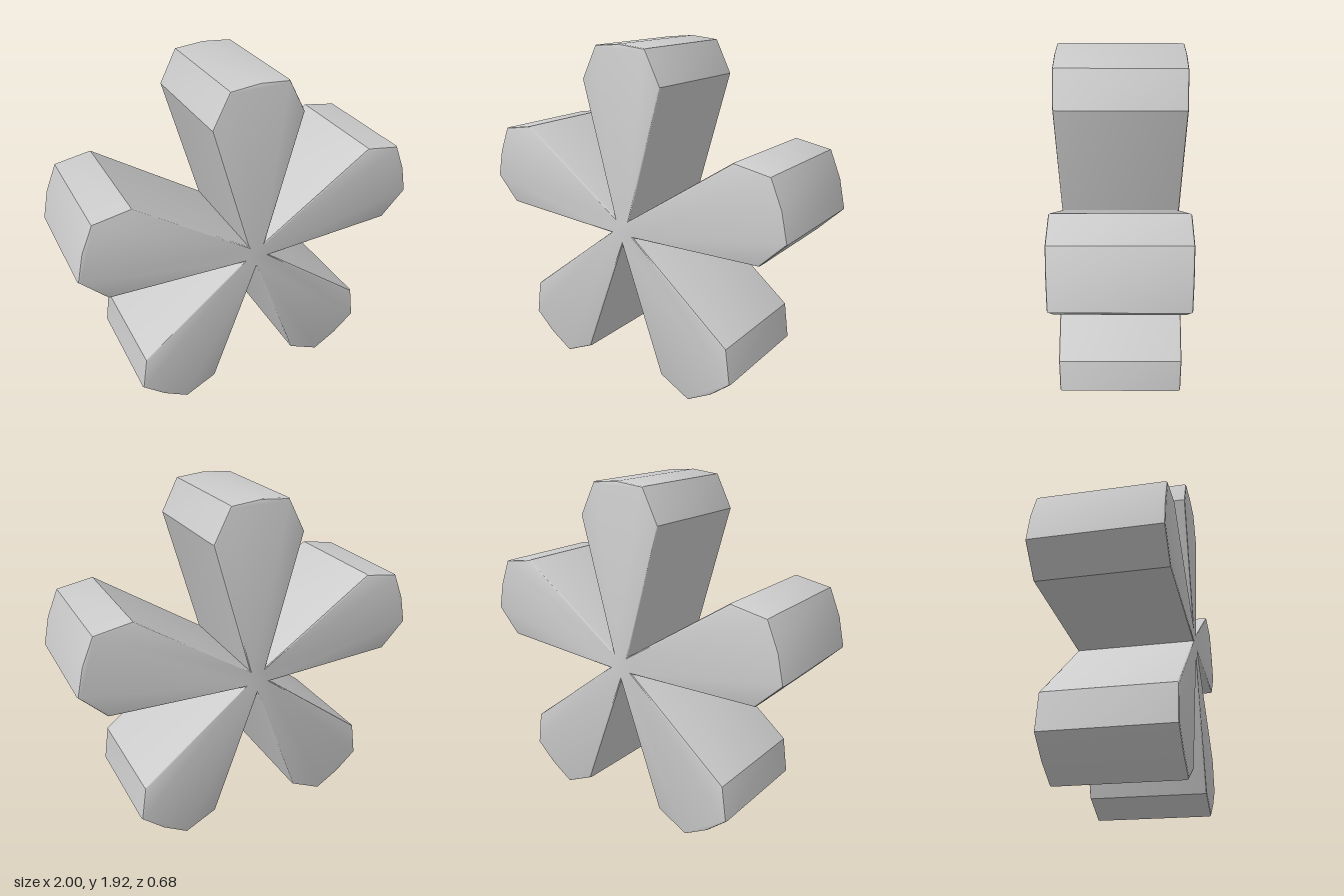
import * as THREE from 'three';
import { toCreasedNormals } from 'three/addons/utils/BufferGeometryUtils.js';

const CENTRE_Y = 0.905, DEPTH = 0.68, BEVEL = 0.012, PETALS = 5;

// One petal pointing up, from its right notch round to its left shoulder
const PETAL = [[0.05, 0.069], [0.261, 0.816], [0.165, 1.0], [0, 1.015], [-0.165, 1.0], [-0.261, 0.816]];

export function createModel() {
  const group = new THREE.Group();

  // Star outline: the petal repeated counter-clockwise round the centre
  const outline = [];
  const origin = new THREE.Vector2();
  for (let i = 0; i < PETALS; i++) {
    for (const [x, y] of PETAL) {
      outline.push(new THREE.Vector2(x, y).rotateAround(origin, (i * 2 * Math.PI) / PETALS));
    }
  }

  // Thick slab with finely rounded front and back edges
  const slab = new THREE.ExtrudeGeometry(new THREE.Shape(outline), {
    depth: DEPTH - 2 * BEVEL,
    bevelEnabled: true,
    bevelThickness: BEVEL,
    bevelSize: BEVEL,
    bevelOffset: -BEVEL,
    bevelSegments: 2,
  });
  slab.translate(0, CENTRE_Y, BEVEL - DEPTH / 2);

  const petals = new THREE.Mesh(
    toCreasedNormals(slab, 0.6),
    new THREE.MeshStandardMaterial({ color: 0xcccccc }),
  );
  petals.name = 'petals';
  group.add(petals);
  return group;
}
